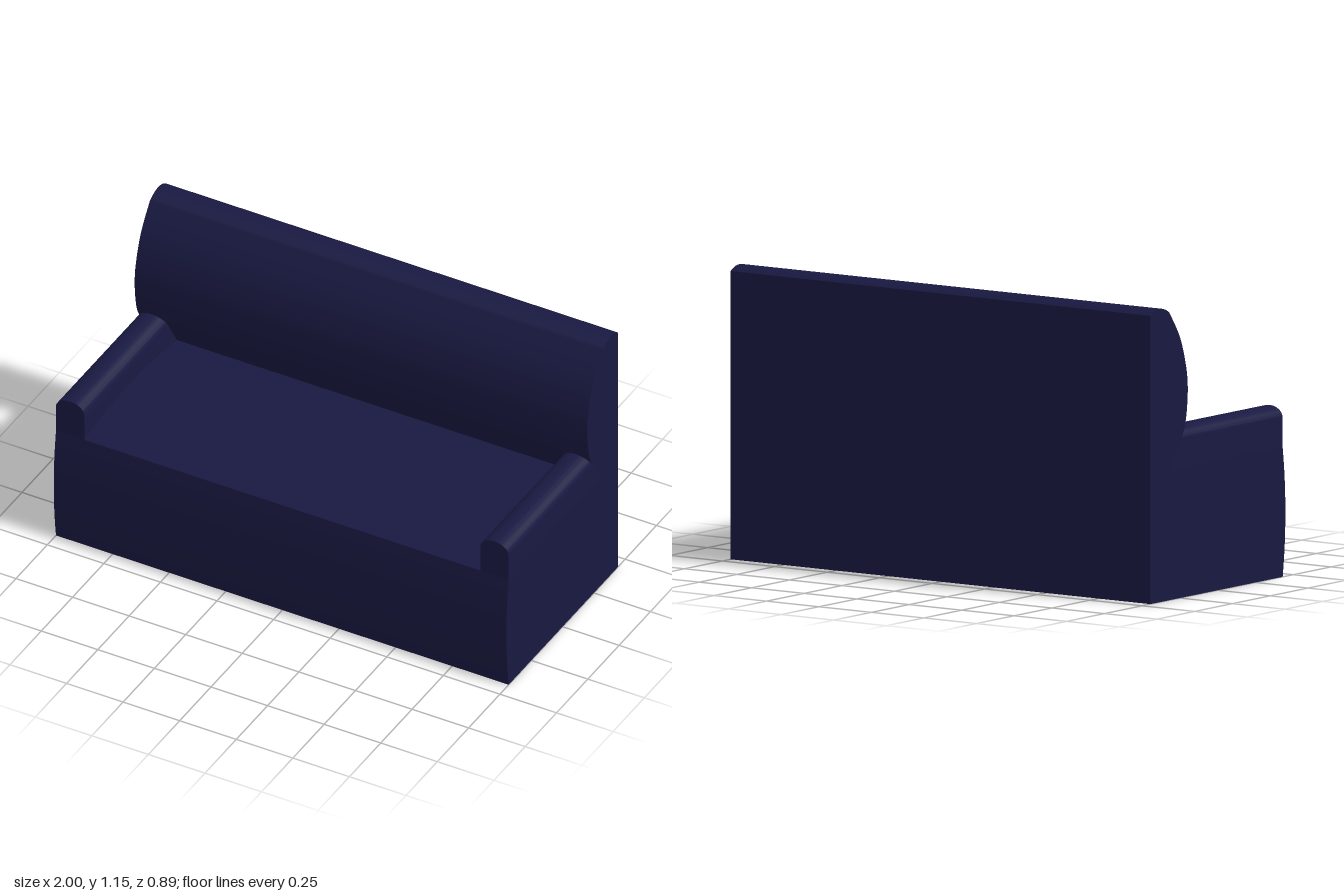
import * as THREE from 'three';
import { toCreasedNormals } from 'three/addons/utils/BufferGeometryUtils.js';

const fabric = new THREE.MeshStandardMaterial({ color: 0x191942 });

function addPart(group, name, geometry) {
  const mesh = new THREE.Mesh(toCreasedNormals(geometry, 0.6), fabric);
  mesh.name = name;
  group.add(mesh);
}

// Extrudes a side profile, drawn with -z to the right, across the given width
function acrossWidth(shape, width) {
  const geometry = new THREE.ExtrudeGeometry(shape, { depth: width, bevelEnabled: false, curveSegments: 16 });
  return geometry.rotateY(Math.PI / 2).translate(-width / 2, 0, 0);
}

export function createModel() {
  const sofa = new THREE.Group();
  sofa.name = 'sofa';
  const seatY = 0.505, frontZ = 0.43, backZ = -0.445, seatBackZ = -0.31;

  // Base with a gently bulging front
  const base = new THREE.Shape();
  base.moveTo(-frontZ, 0);
  base.lineTo(-backZ, 0);
  base.lineTo(-backZ, seatY);
  base.lineTo(-frontZ, seatY);
  base.quadraticCurveTo(-0.466, seatY / 2, -frontZ, 0);
  addPart(sofa, 'base', acrossWidth(base, 2));

  // Crowned seat between the arms
  const seat = new THREE.Shape();
  seat.moveTo(-frontZ, seatY);
  seat.lineTo(-seatBackZ, seatY);
  seat.quadraticCurveTo(-(frontZ + seatBackZ) / 2, 0.575, -frontZ, seatY);
  addPart(sofa, 'seat', acrossWidth(seat, 1.75));

  // Backrest: flat behind, padded curve in front, rounded top
  const back = new THREE.Shape();
  back.moveTo(-backZ, seatY);
  back.lineTo(-backZ, 1.127);
  back.quadraticCurveTo(0.387, 1.168, 0.32, 1.125);
  back.splineThru([[0.25, 1.02], [0.21, 0.905], [0.198, 0.81], [0.209, 0.7], [0.235, 0.63], [0.31, seatY]]
    .map(([u, y]) => new THREE.Vector2(u, y)));
  back.lineTo(-backZ, seatY);
  addPart(sofa, 'backrest', acrossWidth(back, 2));

  // Arms with rounded tops
  const arm = new THREE.Shape();
  arm.moveTo(-0.0625, seatY);
  arm.lineTo(0.0625, seatY);
  arm.lineTo(0.0625, 0.622);
  arm.absellipse(0, 0.622, 0.0625, 0.045, 0, Math.PI, false, 0);
  arm.lineTo(-0.0625, seatY);
  for (const [side, name] of [[1, 'leftArm'], [-1, 'rightArm']]) {
    const geometry = new THREE.ExtrudeGeometry(arm, { depth: frontZ - seatBackZ, bevelEnabled: false, curveSegments: 12 });
    addPart(sofa, name, geometry.translate(side * 0.9375, 0, seatBackZ));
  }
  return sofa;
}
